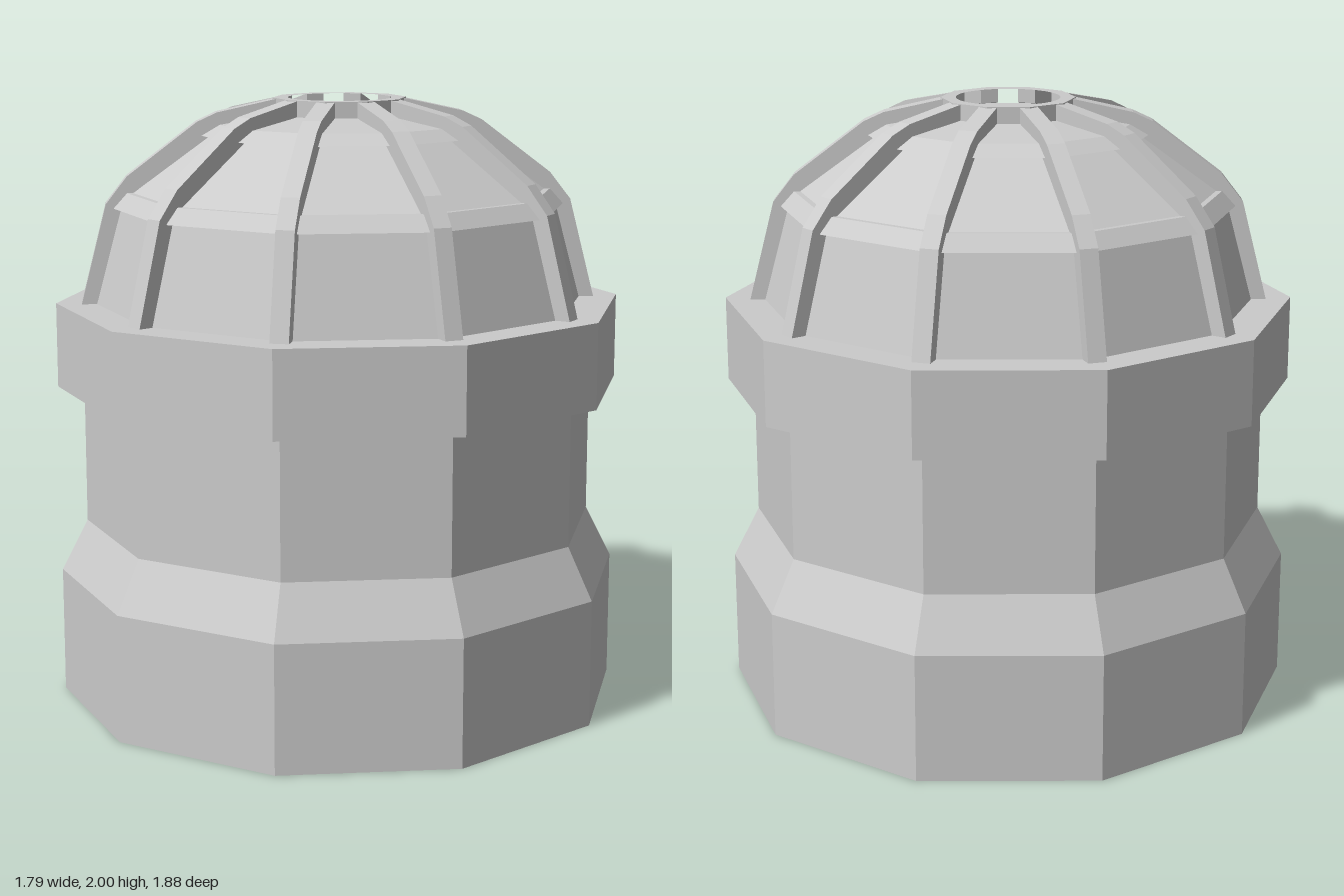
import * as THREE from 'three';

const SIDES = 10;
const STEP = (Math.PI * 2) / SIDES;
const material = new THREE.MeshStandardMaterial({ color: 0xcccccc, flatShading: true });

const toPoints = (pairs) => pairs.map(([x, y]) => new THREE.Vector2(x, y));

function addMesh(group, name, geometry) {
  const mesh = new THREE.Mesh(geometry, material);
  mesh.name = name;
  group.add(mesh);
  return mesh;
}

// Ten-sided solid from a [radius, height] profile, with a corner facing front
function addTurned(group, name, profile) {
  return addMesh(group, name, new THREE.LatheGeometry(toPoints(profile), SIDES));
}

export function createModel() {
  const model = new THREE.Group();
  model.name = 'domedTower';

  // Flared base and narrower drum
  addTurned(model, 'base', [[0, 0], [0.94, 0], [0.94, 0.42], [0.853, 0.59], [0.853, 1.06]]);

  // Overhanging collar
  addTurned(model, 'collar', [[0.8, 1.05], [0.94, 1.05], [0.94, 1.33], [0, 1.33]]);

  // Dome: lower panels, lipped band, upper panels, second lip, cap
  addTurned(model, 'dome', [
    [0.815, 1.33], [0.73, 1.645], [0.755, 1.645], [0.71, 1.695], [0.69, 1.695],
    [0.435, 1.88], [0.465, 1.88], [0.405, 1.915], [0.2, 1.95], [0, 1.95],
  ]);

  // Ribs over the dome corners
  const ribWidth = 0.06;
  const ribShape = new THREE.Shape(toPoints([
    [0.855, 1.33], [0.77, 1.66], [0.7, 1.75], [0.47, 1.925], [0.405, 1.955], [0.2, 2],
    [0.2, 1.95], [0.39, 1.905], [0.44, 1.87], [0.66, 1.71], [0.72, 1.64], [0.79, 1.33],
  ]));
  const ribGeometry = new THREE.ExtrudeGeometry(ribShape, { depth: ribWidth, bevelEnabled: false });
  ribGeometry.translate(0, 0, -ribWidth / 2);
  const ribs = new THREE.Group();
  ribs.name = 'ribs';
  for (let i = 0; i < SIDES; i++) {
    addMesh(ribs, 'rib', ribGeometry).rotation.y = Math.PI / 2 + i * STEP;
  }
  model.add(ribs);

  // Hub ring joining the ribs, with a round opening
  const corners = [];
  for (let i = 0; i < SIDES; i++) {
    corners.push([0.22 * Math.sin(i * STEP), 0.22 * Math.cos(i * STEP)]);
  }
  const hubShape = new THREE.Shape(toPoints(corners));
  hubShape.holes.push(new THREE.Path().absarc(0, 0, 0.17, 0, Math.PI * 2, true));
  const hubGeometry = new THREE.ExtrudeGeometry(hubShape, { depth: 0.055, bevelEnabled: false, curveSegments: 20 });
  hubGeometry.rotateX(-Math.PI / 2).translate(0, 1.945, 0);
  addMesh(model, 'hub', hubGeometry);

  return model;
}
